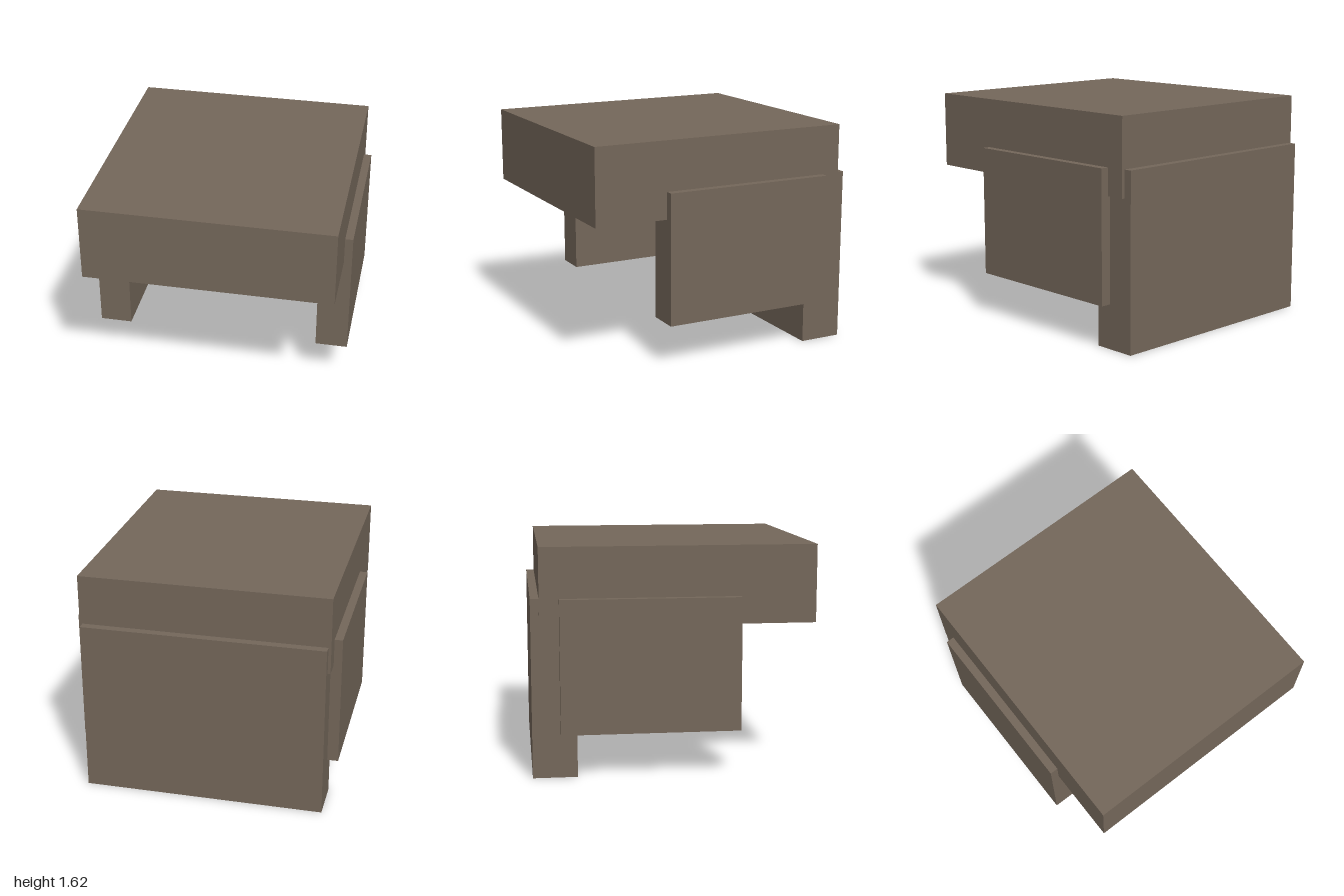
import * as THREE from 'three';

export function createModel() {
  const group = new THREE.Group();
  const upholstery = new THREE.MeshStandardMaterial({ color: 0x74675a });
  upholstery.name = 'taupe';

  // Box given by its extents on each axis
  function block(name, [x0, x1], [y0, y1], [z0, z1]) {
    const mesh = new THREE.Mesh(new THREE.BoxGeometry(x1 - x0, y1 - y0, z1 - z0), upholstery);
    mesh.position.set((x0 + x1) / 2, (y0 + y1) / 2, (z0 + z1) / 2);
    mesh.name = name;
    group.add(mesh);
  }

  // Thick top slab overhanging the front
  block('topSlab', [-0.89, 0.89], [1.073, 1.625], [-0.94, 1]);

  // Upright panel at the back, reaching the floor
  block('backPanel', [-0.87, 0.87], [0, 1.268], [-1, -0.685]);

  // Side panels, raised off the floor
  block('leftPanel', [0.713, 0.948], [0.32, 1.268], [-0.803, 0.465]);
  block('rightPanel', [-0.948, -0.713], [0.32, 1.268], [-0.803, 0.465]);

  return group;
}
